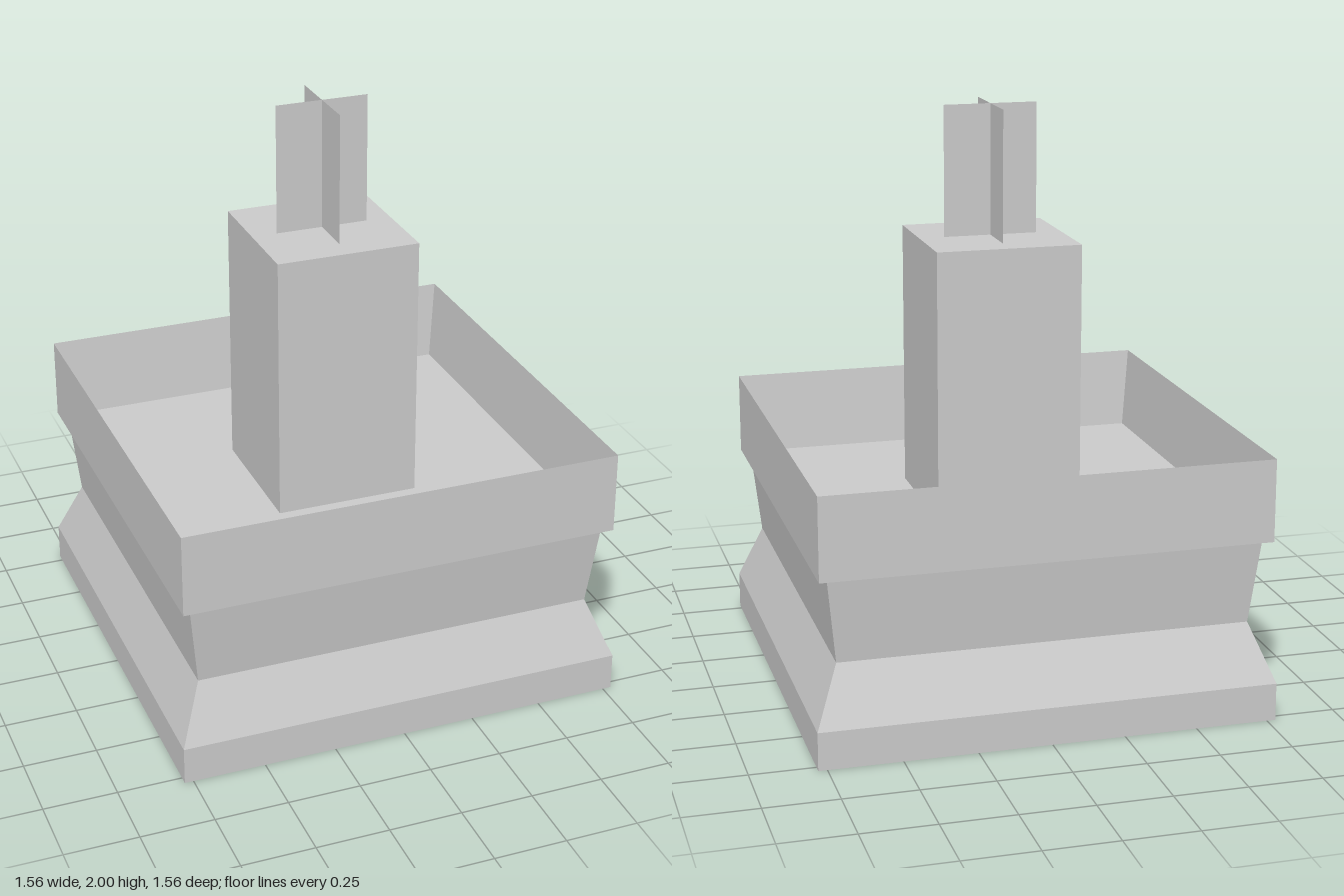
import * as THREE from 'three';

const material = new THREE.MeshStandardMaterial({
  color: 0xcccccc, flatShading: true, side: THREE.DoubleSide,
});

// Square-plan solid from a profile of [half width, height], bottom to top.
function squareLathe(profile) {
  const points = profile.map(([half, y]) => new THREE.Vector2(half * Math.SQRT2, y));
  const geometry = new THREE.LatheGeometry(points, 4, Math.PI / 4).toNonIndexed();
  geometry.computeVertexNormals();
  return geometry;
}

function addPart(group, name, geometry, y = 0) {
  const mesh = new THREE.Mesh(geometry, material);
  mesh.name = name;
  mesh.position.y = y;
  group.add(mesh);
  return mesh;
}

export function createModel() {
  const group = new THREE.Group();
  group.name = 'fountain';

  // Plinth, waist and overhanging basin with sloped inner walls and a floor
  addPart(group, 'basin', squareLathe([
    [0, 0], [0.78, 0], [0.78, 0.13], [0.7, 0.33], [0.732, 0.625],
    [0.762, 0.625], [0.762, 0.91], [0.732, 0.625], [0, 0.625],
  ]));

  // Central pillar standing on the basin floor
  const floorY = 0.625, pillarTop = 1.55;
  addPart(group, 'pillar', new THREE.BoxGeometry(0.5, pillarTop - floorY, 0.5),
    (floorY + pillarTop) / 2);

  // Two crossed flat sheets for the water jet
  const jetHeight = 2 - pillarTop;
  for (let i = 0; i < 2; i++) {
    const sheet = addPart(group, 'waterJetSheet' + (i + 1),
      new THREE.PlaneGeometry(0.325, jetHeight), pillarTop + jetHeight / 2);
    sheet.rotation.y = i * Math.PI / 2;
  }

  return group;
}
